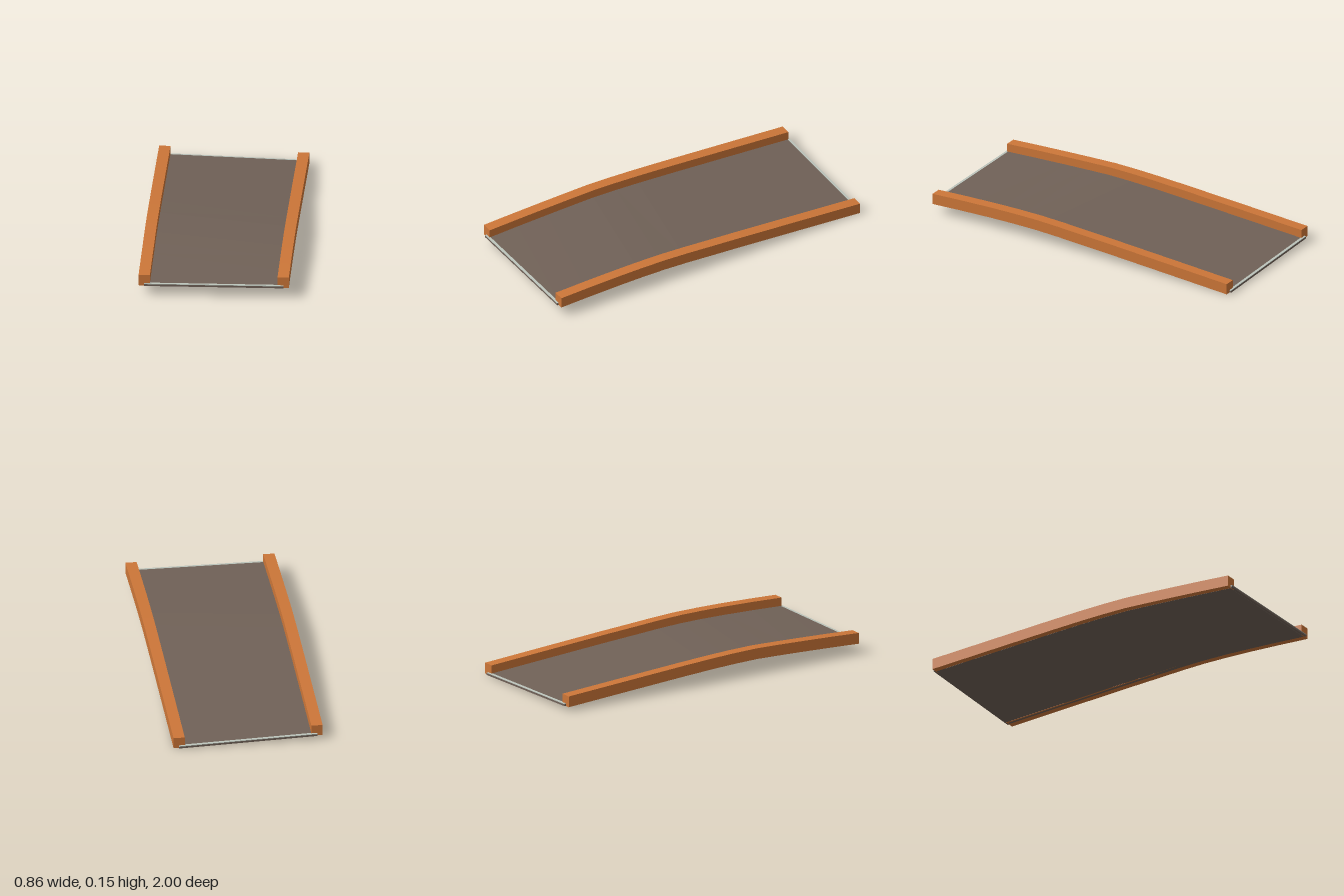
import * as THREE from 'three';

// Stations from front to back: z, underside height at the right edge (-x) and left edge (+x)
const STATIONS = [
  [0.99, 0.056, 0.061], [0.8, 0.066, 0.069], [0.6, 0.075, 0.075], [0.45, 0.081, 0.077],
  [0.3, 0.086, 0.076], [0.15, 0.084, 0.070], [0, 0.079, 0.061], [-0.2, 0.069, 0.050],
  [-0.6, 0.046, 0.025], [-0.99, 0.023, 0.0],
];
const HALF = 0.4275;

// Underside height of the twisted ramp at any x, z
function baseHeight(x, z) {
  let i = 0;
  while (i < STATIONS.length - 2 && z < STATIONS[i + 1][0]) i++;
  const [z0, r0, l0] = STATIONS[i], [z1, r1, l1] = STATIONS[i + 1];
  const t = (z0 - z) / (z0 - z1), s = (x + HALF) / (2 * HALF);
  return THREE.MathUtils.lerp(r0 + (r1 - r0) * t, l0 + (l1 - l0) * t, s);
}

// Rectangular bar following the ramp; level = true keeps its top square across x
function sweep(name, material, x0, x1, low, high, zs, level = false) {
  const mid = (x0 + x1) / 2;
  const rings = zs.map((z) => {
    const a = baseHeight(level ? mid : x0, z), b = baseHeight(level ? mid : x1, z);
    return [[x0, a + low, z], [x1, b + low, z], [x1, b + high, z], [x0, a + high, z]];
  });
  const pos = [];
  const quad = (a, b, c, d) => [a, b, c, a, c, d].forEach((p) => pos.push(...p));
  for (let k = 0; k < rings.length - 1; k++) {
    for (let i = 0; i < 4; i++) {
      const j = (i + 1) % 4;
      quad(rings[k][i], rings[k + 1][i], rings[k + 1][j], rings[k][j]);
    }
  }
  const front = rings[0], back = rings[rings.length - 1];
  quad(front[0], front[1], front[2], front[3]);
  quad(back[3], back[2], back[1], back[0]);
  const geometry = new THREE.BufferGeometry();
  geometry.setAttribute('position', new THREE.Float32BufferAttribute(pos, 3));
  geometry.computeVertexNormals();
  const mesh = new THREE.Mesh(geometry, material);
  mesh.name = name;
  return mesh;
}

export function createModel() {
  const make = (name, color) => {
    const m = new THREE.MeshStandardMaterial({ color });
    m.name = name;
    return m;
  };
  const orange = make('orangeRail', 0xcc7638);
  const brown = make('brownDeck', 0x706157);
  const pale = make('paleEdge', 0xbcc4bb);

  const group = new THREE.Group();
  group.name = 'ramp';
  const zs = STATIONS.map((s) => s[0]);

  // Side rails
  group.add(sweep('leftRail', orange, 0.363, HALF, 0, 0.064, zs, true));
  group.add(sweep('rightRail', orange, -HALF, -0.363, 0, 0.064, zs, true));

  // Deck between the rails
  const deckZs = [0.985, ...zs.slice(1, -1), -0.985];
  group.add(sweep('deck', brown, -0.39, 0.39, -0.0005, 0.015, deckZs));

  // Pale joint strip over a brown lip at each end
  for (const [end, z0, z1] of [['front', 1, 0.985], ['back', -0.985, -1]]) {
    group.add(sweep(end + 'Lip', brown, -0.397, 0.397, 0.001, 0.012, [z0, z1]));
    group.add(sweep(end + 'Strip', pale, -0.397, 0.397, 0.012, 0.0155, [z0, z1]));
  }
  return group;
}
